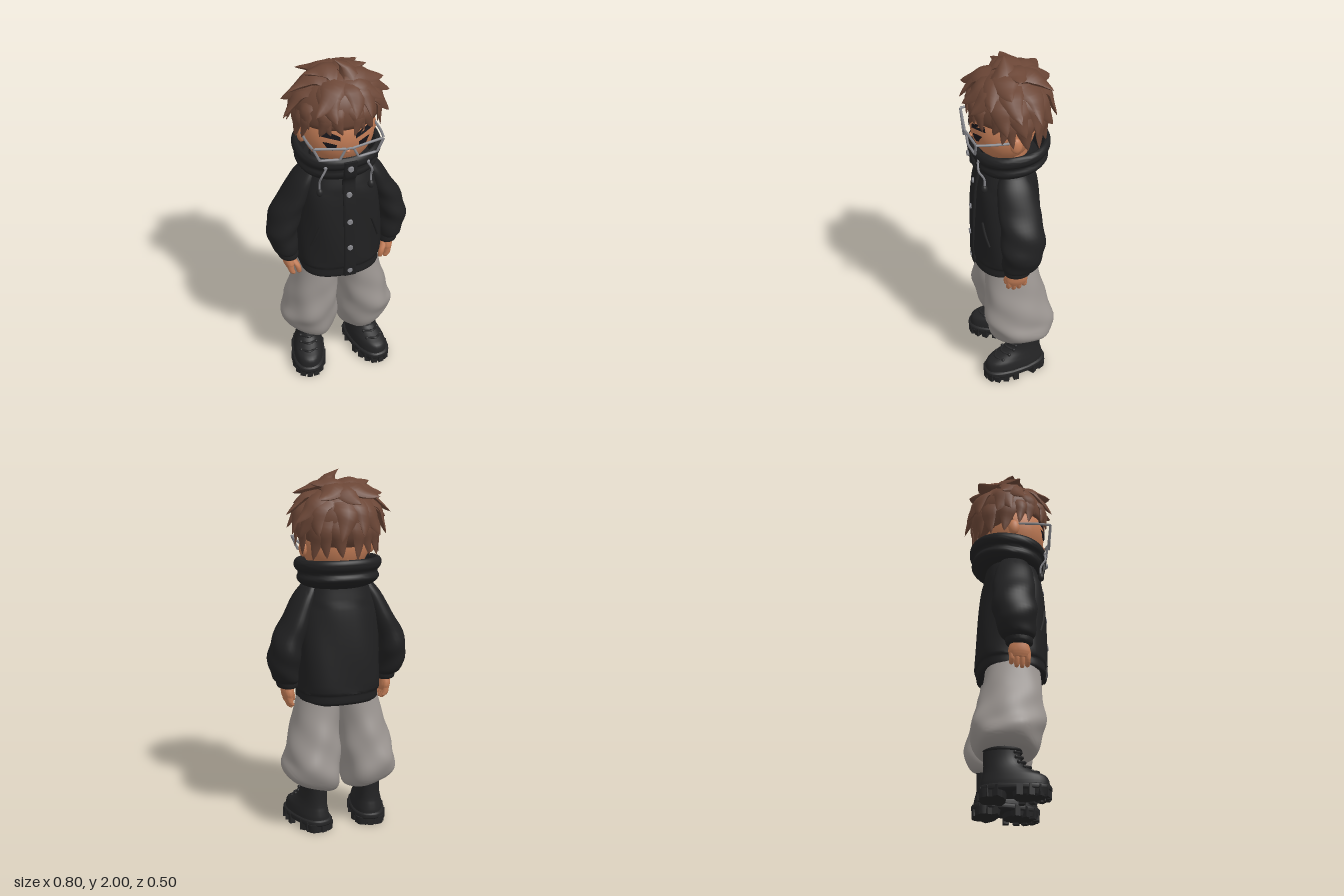
import * as THREE from 'three';
import { toCreasedNormals } from 'three/addons/utils/BufferGeometryUtils.js';

const mat = (name, color, side = THREE.FrontSide) => {
  const m = new THREE.MeshStandardMaterial({ color, side });
  m.name = name;
  return m;
};
const V = (x, y, z) => new THREE.Vector3(x, y, z);

// Skin a list of rings (arrays of points) and close both ends
function skin(rings, crease = 0.9) {
  const n = rings[0].length, pos = [], idx = [];
  rings.forEach(r => r.forEach(p => pos.push(p.x, p.y, p.z)));
  for (let i = 0; i < rings.length - 1; i++) for (let j = 0; j < n; j++) {
    const a = i * n + j, b = i * n + (j + 1) % n;
    idx.push(a, b, a + n, b, b + n, a + n);
  }
  [0, rings.length - 1].forEach((e, k) => {
    const c = rings[e].reduce((s, p) => s.add(p), V(0, 0, 0)).divideScalar(n);
    const ci = pos.length / 3;
    pos.push(c.x, c.y, c.z);
    for (let j = 0; j < n; j++) {
      const a = e * n + j, b = e * n + (j + 1) % n;
      k ? idx.push(a, b, ci) : idx.push(b, a, ci);
    }
  });
  const g = new THREE.BufferGeometry();
  g.setAttribute('position', new THREE.Float32BufferAttribute(pos, 3));
  g.setIndex(idx);
  return toCreasedNormals(g, crease);
}

// Smooth stack of rings, bottom to top; rows are [x, y, z, rx, rz].
// wave(angle, y) swells the ring, lift(point) tilts it
function stack(rows, { seg = 32, sub = 4, power = 2, wave, lift, s = 1 } = {}) {
  const mid = new THREE.CatmullRomCurve3(rows.map(r => V(r[0] * s, r[1], r[2])), false, 'catmullrom');
  const size = new THREE.CatmullRomCurve3(rows.map(r => V(r[3], r[4], 0)), false, 'catmullrom');
  const N = (rows.length - 1) * sub, e = 2 / power, rings = [];
  for (let i = 0; i <= N; i++) {
    const c = mid.getPoint(i / N), r = size.getPoint(i / N), ring = [];
    for (let j = 0; j < seg; j++) {
      const a = j / seg * Math.PI * 2, co = Math.cos(a), si = Math.sin(a);
      const k = wave ? wave(a * s, c.y) : 0;
      const p = V(c.x + Math.sign(si) * Math.abs(si) ** e * (r.x + k), c.y,
        c.z + Math.sign(co) * Math.abs(co) ** e * (r.y + k));
      if (lift) p.y += lift(p);
      ring.push(p);
    }
    rings.push(ring);
  }
  return skin(rings);
}

const cord = (pts, r, closed = false, straight = false) => {
  const path = straight ? new THREE.CurvePath() : new THREE.CatmullRomCurve3(pts, closed);
  if (straight) pts.forEach((p, i) => path.add(new THREE.LineCurve3(p, pts[(i + 1) % pts.length])));
  return new THREE.TubeGeometry(path, 32, r, 7, closed);
};

// Hair follows an ellipsoid with this centre and these radii
const HC = V(0, 1.74, 0), HR = V(0.222, 0.195, 0.205), DEG = Math.PI / 180;
const onHair = (az, el, f) => V(Math.sin(az) * Math.cos(el), Math.sin(el),
  Math.cos(az) * Math.cos(el)).multiply(HR).multiplyScalar(f).add(HC);

// One pointed lock ending at tip; it starts `rise` degrees higher and `curl` degrees aside
function lock(tip, rise, w, curl) {
  const q = tip.clone().sub(HC).divide(HR), f = q.length();
  const az = Math.atan2(q.x, q.z), el = Math.asin(q.y / f);
  const top = Math.min(el + rise * DEG, 1.5);
  const at = (t, k) => onHair(az - curl * DEG * (1 - t * t), top + (el - top) * t, k);
  const path = new THREE.CatmullRomCurve3([at(0, 0.86), at(0.35, 1.01), at(0.7, 1.02 + 0.3 * Math.max(0, f - 1.05)), tip]);
  const rings = [], N = 10;
  for (let i = 0; i <= N; i++) {
    const t = i / N, c = path.getPoint(t), d = path.getTangent(t);
    const out = c.clone().sub(HC).normalize();
    const u = d.clone().cross(out).normalize(), v = d.clone().cross(u);
    const k = w * Math.max(0.01, (1 - t) ** 0.7);
    rings.push(Array.from({ length: 8 }, (_, j) => {
      const a = j * Math.PI / 4;
      return c.clone().addScaledVector(u, k * Math.cos(a)).addScaledVector(v, 0.42 * k * Math.sin(a));
    }));
  }
  return skin(rings, 1);
}

// Lock tips along an arc around the head, slightly uneven in height
const arc = (n, from, to, rx, rz, y) => Array.from({ length: n }, (_, i) => {
  const a = (from + (to - from) * i / (n - 1)) * DEG;
  return [rx * Math.sin(a), y + 0.012 * Math.sin(i * 2.4 + n), rz * Math.cos(a)];
});

export function createModel() {
  const root = new THREE.Group();
  const hair = mat('hair brown', 0x6b4636), skinM = mat('skin', 0xc27c56), coat = mat('jacket black', 0x202021);
  const cloth = mat('trouser grey', 0x9b9591), boot = mat('boot black', 0x242425);
  const metal = mat('metal grey', 0x85858a), dark = mat('eye black', 0x17151a, THREE.DoubleSide);
  const add = (name, geo, m, parent = root) => {
    const mesh = new THREE.Mesh(geo, m);
    mesh.name = name;
    parent.add(mesh);
    return mesh;
  };
  const ball = (name, m, p, sc, parent = root) => {
    const b = add(name, new THREE.SphereGeometry(1, 24, 16), m, parent);
    b.position.set(...p);
    b.scale.set(...sc);
  };

  // Head and neck
  ball('head', skinM, [0, 1.62, 0.03], [0.195, 0.2, 0.175]);
  add('neck', stack([[0, 1.36, 0, 0.09, 0.09], [0, 1.55, -0.02, 0.1, 0.11]]), skinM);
  ball('nose', skinM, [0, 1.565, 0.2], [0.013, 0.012, 0.012]);
  const onFace = (pts) => {
    const g = new THREE.ShapeGeometry(new THREE.Shape(pts.map(p => new THREE.Vector2(...p)))), q = g.attributes.position;
    for (let i = 0; i < q.count; i++) {
      const x = q.getX(i) / 0.195, y = (q.getY(i) - 1.62) / 0.2;
      q.setZ(i, 0.036 + 0.175 * Math.sqrt(1 - x * x - y * y));
    }
    g.computeVertexNormals();
    return g;
  };
  for (const s of [1, -1]) {
    add('eye', onFace([[0.058, 1.612], [0.063, 1.585], [0.08, 1.574], [0.1, 1.58], [0.112, 1.6], [0.128, 1.624], [0.1, 1.623], [0.075, 1.617]].map(p => [p[0] * s, p[1]])), dark);
    add('eyebrow', onFace([[0.04, 1.635], [0.09, 1.648], [0.14, 1.653], [0.128, 1.682], [0.08, 1.676], [0.042, 1.658]].map(p => [p[0] * s, p[1]])), dark);
    ball('ear', skinM, [0.195 * s, 1.585, 0.005], [0.022, 0.045, 0.032]);
    // Glasses
    add('glassesRim', cord([[0.02, 1.6, 0.232], [0.19, 1.62, 0.216], [0.155, 1.542, 0.214], [0.05, 1.538, 0.228]].map(p => V(p[0] * s, p[1], p[2])), 0.007, true, true), metal);
    add('glassesArm', cord([V(0.19 * s, 1.618, 0.216), V(0.2 * s, 1.614, 0.13), V(0.2 * s, 1.608, 0.03)], 0.007), metal);
  }
  add('glassesBridge', cord([V(-0.022, 1.597, 0.232), V(0, 1.603, 0.236), V(0.022, 1.597, 0.232)], 0.006), metal);

  // Hair cap, tucked in over the face
  const hairGroup = new THREE.Group();
  hairGroup.name = 'hair';
  root.add(hairGroup);
  const cap = new THREE.SphereGeometry(1, 36, 24), cp = cap.attributes.position;
  for (let i = 0; i < cp.count; i++) {
    const p = V(cp.getX(i), cp.getY(i), cp.getZ(i)).multiply(HR);
    if (p.y < -0.06 && p.z > 0.03) p.multiplyScalar(0.6);
    p.add(HC);
    cp.setXYZ(i, p.x, p.y, p.z);
  }
  cap.computeVertexNormals();
  add('hairCap', cap, hair, hairGroup);

  // Locks by region: rise, half width, curl, then tip points
  const locks = (name, rise, w, curl, tips) => tips.forEach((p, i) =>
    add(name, lock(V(...p), rise, w, i % 3 === 1 ? -curl : curl), hair, hairGroup));
  locks('crownLock', 42, 0.1, 14, [[-0.18, 1.935, 0], [0.165, 1.935, -0.02], [-0.17, 1.87, -0.195], [-0.05, 1.84, -0.235], [0.17, 1.87, -0.195], [0.24, 1.88, 0.04], [-0.27, 1.86, 0.03]]);
  locks('frontLock', 50, 0.085, -14, [[-0.17, 1.8, 0.215], [-0.07, 1.76, 0.245], [0.03, 1.78, 0.252], [0.12, 1.76, 0.225], [0.205, 1.81, 0.14]]);
  locks('sideLock', 45, 0.08, 10, [[-0.3, 1.725, 0.05], [-0.28, 1.77, -0.07], [0.29, 1.77, 0], [0.265, 1.69, 0.07], [0.27, 1.74, -0.11], [-0.265, 1.67, -0.02], [0.265, 1.67, -0.03]]);
  locks('fringeLock', 42, 0.055, 10, arc(8, -55, 55, 0.225, 0.218, 1.667));
  locks('templeLock', 45, 0.05, -6, [...arc(2, 66, 82, 0.235, 0.21, 1.605), ...arc(2, -66, -82, 0.235, 0.21, 1.605)]);
  locks('backLock', 50, 0.085, -10, arc(6, 112, 248, 0.265, 0.255, 1.665));
  locks('napeLock', 45, 0.07, 6, arc(8, 105, 255, 0.225, 0.205, 1.55));
  add('crownTuft', skin([[0.06, 1.9, 0.03, 0.07], [0.055, 1.935, 0.03, 0.05], [0.035, 1.97, 0.025, 0.03], [-0.012, 2, 0.02, 0.001]].map(([x, y, z, r]) =>
    Array.from({ length: 8 }, (_, j) => V(x + r * Math.sin(j * Math.PI / 4), y, z + r * 1.3 * Math.cos(j * Math.PI / 4))))), hair, hairGroup);

  // Jacket
  add('jacketBody', stack([[0, 0.73, 0.015, 0.215, 0.178], [0, 0.745, 0.015, 0.226, 0.187], [0, 0.79, 0.012, 0.226, 0.187], [0, 0.81, 0.01, 0.236, 0.195],
    [0, 1, 0.013, 0.235, 0.191], [0, 1.2, 0.018, 0.222, 0.176], [0, 1.3, 0.018, 0.2, 0.161], [0, 1.38, 0.012, 0.172, 0.142], [0, 1.44, 0.005, 0.14, 0.13]],
  { power: 2.5, seg: 48, wave: (a, y) => 0.004 * Math.sin(5 * a + 9 * y) * (y < 1.3 && y > 0.8 ? 1 : 0.2) }), coat);
  add('collar', stack([[0, 1.365, 0, 0.15, 0.13], [0, 1.385, 0, 0.198, 0.172], [0, 1.42, -0.007, 0.225, 0.202], [0, 1.452, -0.003, 0.216, 0.195], [0, 1.48, -0.003, 0.235, 0.214],
    [0, 1.51, -0.005, 0.237, 0.215], [0, 1.53, -0.005, 0.218, 0.198], [0, 1.51, 0, 0.198, 0.182], [0, 1.42, 0, 0.18, 0.16]],
  { seg: 48, power: 2.2, lift: p => -0.07 * p.z }), coat);
  add('placket', stack([[0.74, 0.2], [0.82, 0.206], [1, 0.204], [1.2, 0.194], [1.3, 0.181], [1.36, 0.175], [1.41, 0.197], [1.5, 0.211]]
    .map(([y, z]) => [0.015, y, z, 0.035, 0.012]), { power: 5, seg: 20 }), coat);
  [[0.78, 0.213], [0.94, 0.218], [1.11, 0.212], [1.28, 0.197], [1.46, 0.222]].forEach(([y, z]) => {
    const b = add('button', new THREE.CylinderGeometry(0.014, 0.018, 0.014, 16), metal);
    b.rotation.x = Math.PI / 2;
    b.position.set(0.012, y, z);
  });

  for (const s of [1, -1]) {
    // Sleeves, cuffs, pockets and drawstrings
    add('sleeve', stack([[0.29, 0.845, 0.015, 0.055, 0.068], [0.3, 0.865, 0.01, 0.072, 0.09], [0.308, 0.91, 0.003, 0.077, 0.106], [0.314, 0.96, -0.003, 0.082, 0.115], [0.309, 1.02, -0.007, 0.088, 0.119],
      [0.28, 1.12, -0.007, 0.084, 0.117], [0.235, 1.22, 0, 0.07, 0.112], [0.192, 1.32, 0.008, 0.058, 0.098], [0.15, 1.39, 0.01, 0.045, 0.07]],
    { s, wave: (a, y) => 0.006 * Math.sin(2 * a + 38 * y) * Math.max(0, 1 - Math.abs(y - 1) * 3.5) }), coat);
    add('cuff', stack([[0.286, 0.815, 0.02, 0.05, 0.062], [0.288, 0.825, 0.02, 0.058, 0.073], [0.292, 0.87, 0.016, 0.06, 0.076]], { s, seg: 48, wave: a => 0.002 * Math.sin(24 * a) }), coat);
    add('pocketWelt', cord([V(0.145 * s, 1.09, 0.18), V(0.168 * s, 1.02, 0.17), V(0.19 * s, 0.95, 0.152)], 0.008), coat);
    add('drawstring', cord([V(0.115 * s, 1.465, 0.192), V(0.138 * s, 1.42, 0.192), V(0.142 * s, 1.37, 0.165), V(0.142 * s, 1.32, 0.163)], 0.006), metal);
    ball('eyelet', metal, [0.115 * s, 1.47, 0.188], [0.011, 0.011, 0.008]);
    ball('toggle', boot, [0.142 * s, 1.305, 0.165], [0.018, 0.024, 0.018]);

    // Hands
    const hand = new THREE.Group();
    hand.name = 'hand';
    root.add(hand);
    add('palm', stack([[0.284, 0.745, 0.022, 0.024, 0.05], [0.286, 0.77, 0.022, 0.032, 0.06], [0.288, 0.8, 0.02, 0.034, 0.056], [0.288, 0.84, 0.02, 0.034, 0.042]], { s }), skinM, hand);
    [0.066, 0.037, 0.008, -0.02].forEach((z, i) => {
      const tip = [0.705, 0.693, 0.695, 0.71][i];
      add('finger', stack([[0.27, tip, z, 0.004, 0.004], [0.273, tip + 0.008, z, 0.014, 0.012], [0.283, 0.735, z, 0.017, 0.015], [0.288, 0.775, z, 0.018, 0.015]], { s, seg: 12 }), skinM, hand);
    });
    add('thumb', stack([[0.238, 0.712, 0.07, 0.004, 0.004], [0.24, 0.722, 0.07, 0.013, 0.013], [0.248, 0.76, 0.068, 0.017, 0.017], [0.272, 0.8, 0.045, 0.02, 0.021]], { s, seg: 12 }), skinM, hand);

    // Baggy trouser legs, gathered lower on the inside
    add('trouserLeg', stack([[0.15, 0.245, -0.025, 0.08, 0.095], [0.155, 0.248, -0.03, 0.12, 0.14], [0.165, 0.28, -0.035, 0.15, 0.168], [0.167, 0.34, -0.033, 0.158, 0.187], [0.16, 0.42, -0.02, 0.152, 0.193],
      [0.148, 0.52, -0.008, 0.14, 0.178], [0.13, 0.63, 0.003, 0.128, 0.16], [0.11, 0.77, 0.01, 0.112, 0.145]],
    { s, seg: 48, sub: 6, power: 2.1, lift: p => (p.x * s - 0.15) * 0.25 * Math.max(0, 1 - Math.max(0, p.y - 0.24) * 5),
      wave: (a, y) => (0.006 * Math.sin(3 * a + 30 * y) + 0.005 * Math.sin(5 * a - 14 * y)) * Math.max(0.2, 1 - Math.abs(y - 0.38) * 2.6) }), cloth);

    // Lace-up boots, turned outwards
    const b = new THREE.Group();
    b.name = 'boot';
    b.position.set(0.18 * s, 0, 0.01);
    b.rotation.y = 0.22 * s;
    root.add(b);
    add('bootUpper', stack([[0, 0.05, 0, 0.086, 0.178], [0, 0.08, 0, 0.086, 0.178], [0, 0.115, -0.003, 0.08, 0.168], [0, 0.14, -0.025, 0.073, 0.14], [0, 0.175, -0.055, 0.065, 0.108],
      [0, 0.22, -0.068, 0.062, 0.096], [0, 0.29, -0.07, 0.066, 0.097]], { power: 2.3 }), boot, b);
    add('soleRim', stack([[0, 0.035, 0, 0.094, 0.186], [0, 0.04, 0, 0.097, 0.19], [0, 0.06, 0, 0.097, 0.19], [0, 0.067, 0, 0.091, 0.184]], { power: 2.5 }), boot, b);
    add('heelBlock', stack([[0, 0, -0.115, 0.076, 0.065], [0, 0.045, -0.112, 0.08, 0.07]], { power: 3.5 }), boot, b);
    add('soleFront', stack([[0, 0.01, 0.085, 0.078, 0.09], [0, 0.045, 0.085, 0.085, 0.1]], { power: 2.6 }), boot, b);
    for (let i = 0; i < 18; i++) {
      const a = i / 18 * Math.PI * 2, z = 0.172 * Math.cos(a);
      if (z < 0 && z > -0.06) continue;
      const lug = add('soleLug', new THREE.BoxGeometry(0.032, 0.058, 0.032), boot, b);
      lug.position.set(0.085 * Math.sign(Math.sin(a)) * Math.abs(Math.sin(a)) ** 0.8, 0.029, z);
      lug.rotation.y = a;
    }
    [0.118, 0.078, 0.049, 0.036, 0.03].forEach((z, i) => {
      const y = 0.135 + i * 0.027;
      add('lace', cord([V(-0.042, y, z - 0.025), V(0, y + 0.008, z + 0.004), V(0.042, y, z - 0.025)], 0.007), boot, b);
      for (const k of [1, -1]) ball('laceHook', boot, [0.045 * k, y, z - 0.025], [0.01, 0.01, 0.01], b);
    });
    const cuff = add('bootCollar', new THREE.TorusGeometry(0.065, 0.012, 8, 28), boot, b);
    cuff.rotation.x = Math.PI / 2;
    cuff.scale.y = 1.48;
    cuff.position.set(0, 0.262, -0.07);
  }
  return root;
}
